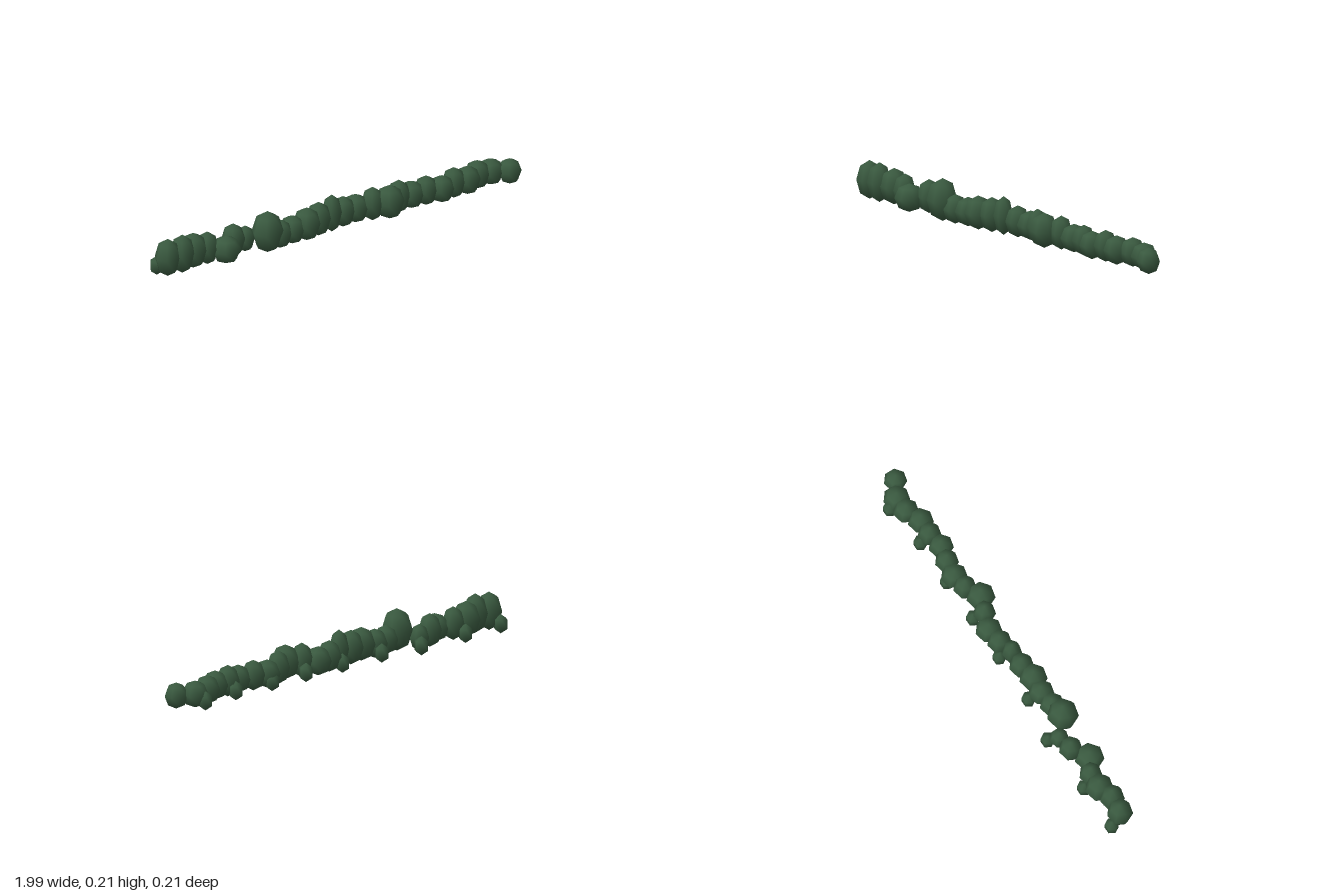
import * as THREE from 'three';

export function createModel() {
  const group = new THREE.Group();
  group.name = 'hedge';
  const leaf = new THREE.MeshStandardMaterial({ color: 0x3a5a40 });
  leaf.name = 'leafGreen';

  const bushGeometry = new THREE.SphereGeometry(1, 7, 4);
  const tuftGeometry = new THREE.SphereGeometry(1, 6, 3);

  function clump(name, geometry, x, z, radius, bottom, top) {
    const mesh = new THREE.Mesh(geometry, leaf);
    mesh.name = name;
    mesh.position.set(x, (top + bottom) / 2, z);
    mesh.scale.set(radius, (top - bottom) / 2, radius);
    group.add(mesh);
  }

  // Main row of evenly spaced bushes: [z, radius, top height]
  const bushes = [
    [0, 0.06, 0.187], [0.008, 0.057, 0.192], [-0.013, 0.066, 0.176], [-0.01, 0.053, 0.165],
    [0.031, 0.068, 0.139], [-0.02, 0.055, 0.165], [-0.033, 0.045, 0.132], [0.034, 0.073, 0.206],
    [0.025, 0.057, 0.144], [0.016, 0.06, 0.144], [0.022, 0.065, 0.165], [0.008, 0.058, 0.17],
    [0.005, 0.046, 0.187], [-0.013, 0.057, 0.155], [-0.022, 0.062, 0.144], [0.004, 0.052, 0.17],
    [0.032, 0.067, 0.17], [-0.004, 0.054, 0.165], [-0.013, 0.062, 0.139], [-0.004, 0.055, 0.15],
    [0.014, 0.058, 0.139], [0, 0.055, 0.155], [0.002, 0.06, 0.144], [-0.028, 0.06, 0.144],
    [-0.03, 0.062, 0.133], [0.012, 0.054, 0.13],
  ];
  bushes.forEach(([z, radius, top], i) => {
    clump('bush', bushGeometry, -0.94 + i * 0.0754, z, radius, 0.008, top);
  });

  // Small low tufts along the back: [x, z]
  const tufts = [
    [-0.96, -0.056], [-0.74, -0.063], [-0.46, -0.077], [-0.25, -0.044], [-0.01, -0.046],
    [0.21, -0.045], [0.42, -0.05], [0.64, -0.05], [0.85, -0.078],
  ];
  for (const [x, z] of tufts) clump('tuft', tuftGeometry, x, z, 0.036, 0, 0.09);

  return group;
}
